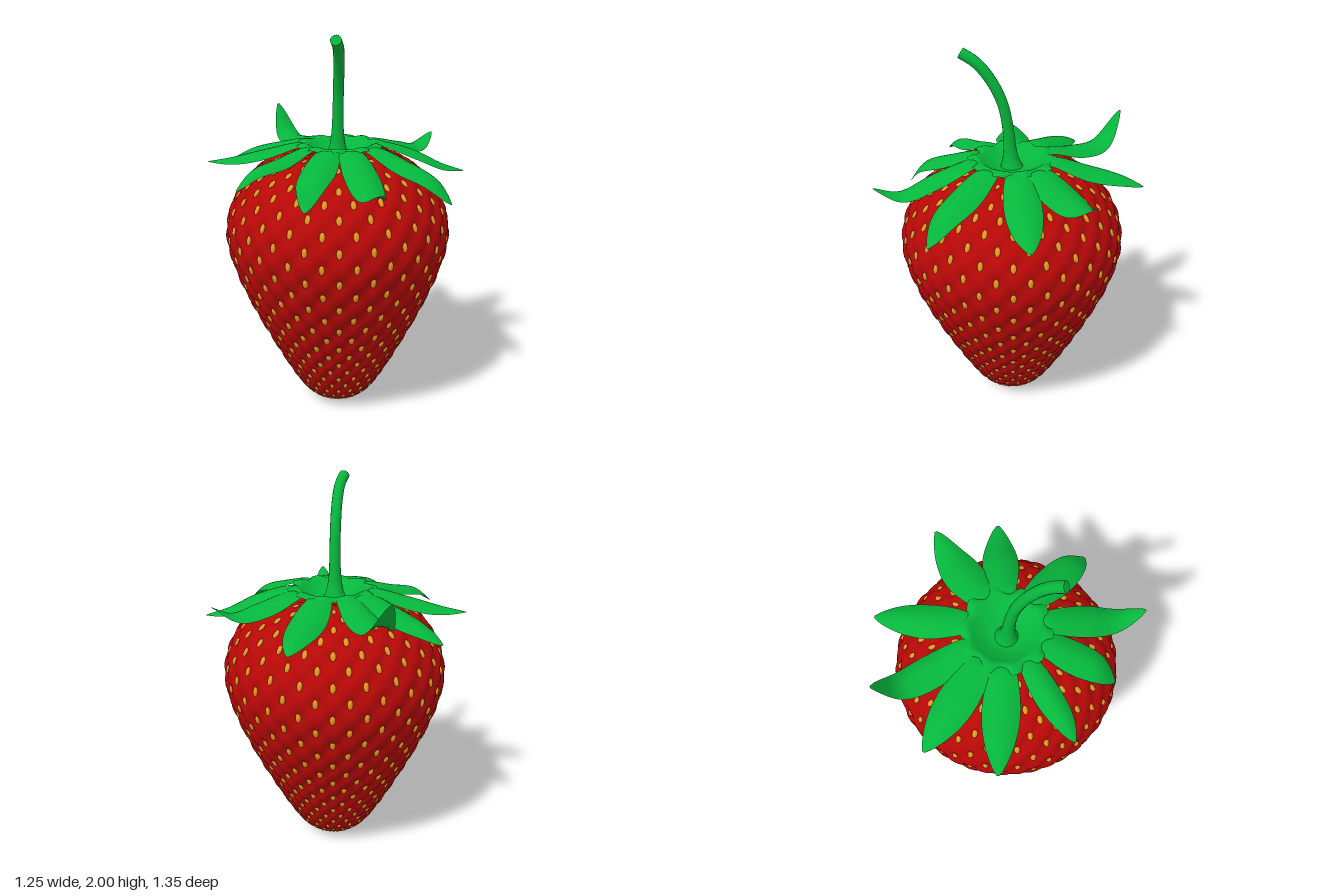
import * as THREE from 'three';
import { mergeGeometries } from 'three/addons/utils/BufferGeometryUtils.js';

const V = (x, y, z) => new THREE.Vector3(x, y, z);
const CX = -0.035; // axis of the fruit
const COLUMNS = 22; // seeds per ring
const SUB = 6; // surface rows per seed row

// Smooth surface from a grid of points; wrap joins the last column to the first
function grid(nu, nv, fn, wrap = false) {
  const pos = [], idx = [], cols = wrap ? nu : nu + 1;
  for (let j = 0; j <= nv; j++)
    for (let i = 0; i < cols; i++) pos.push(...fn(i / nu, j / nv, j).toArray());
  for (let j = 0; j < nv; j++)
    for (let i = 0; i < nu; i++) {
      const a = j * cols + i, b = j * cols + ((i + 1) % cols), c = a + cols, d = b + cols;
      idx.push(a, c, b, b, c, d);
    }
  const g = new THREE.BufferGeometry();
  g.setAttribute('position', new THREE.Float32BufferAttribute(pos, 3));
  g.setIndex(idx);
  g.computeVertexNormals();
  return g;
}

function mesh(name, geometry, color, side = THREE.FrontSide) {
  const m = new THREE.Mesh(geometry, new THREE.MeshStandardMaterial({ color, side }));
  m.name = name;
  return m;
}

// Profile of the fruit, cut into rows that follow the seed spacing
function fruitRows() {
  const curve = new THREE.CatmullRomCurve3([
    [0, 0.003], [0.07, 0.008], [0.13, 0.03], [0.195, 0.085], [0.27, 0.2], [0.375, 0.4],
    [0.47, 0.6], [0.548, 0.8], [0.587, 0.97], [0.574, 1.1], [0.525, 1.21], [0.45, 1.305],
    [0.36, 1.37], [0.26, 1.41], [0.15, 1.41], [0.07, 1.385], [0, 1.375],
  ].map(([r, y]) => V(r, y, 0)), false, 'centripetal');
  const pts = curve.getSpacedPoints(3000), rows = [];
  let k = 0;
  pts.forEach((p, i) => {
    const q = pts[Math.max(i - 1, 0)], next = pts[Math.min(i + 1, 3000)];
    k += p.distanceTo(q) / (0.048 + 0.056 * p.x);
    if (k * SUB >= rows.length || i === 3000) {
      const t = next.clone().sub(q).normalize();
      rows.push({ r: Math.max(p.x, 0.0005), y: p.y, t, k: rows.length / SUB });
    }
  });
  return rows;
}

// Point on the dimpled skin; each dimple is centred on a seed
function skinPoint(row, a, lift = 0) {
  const dimple = (1 + Math.cos(COLUMNS * a) * Math.cos(Math.PI * row.k)) / 2;
  const d = lift - 0.018 * Math.min(1, row.r / 0.35) * dimple ** 1.5;
  const r = row.r + row.t.y * d;
  return V(CX + r * Math.cos(a), row.y - row.t.x * d, r * Math.sin(a));
}

function makeSeeds(rows) {
  const seeds = [];
  for (let j = 0; j < rows.length; j += SUB) {
    const row = rows[j];
    if (row.r < (row.y > 1 ? 0.2 : 0.1)) continue;
    const s = Math.min(1, 0.4 + row.r * 1.5);
    for (let i = 0; i < COLUMNS; i++) {
      const a = ((i + (row.k % 2) / 2) / COLUMNS) * Math.PI * 2;
      const up = V(row.t.x * Math.cos(a), row.t.y, row.t.x * Math.sin(a));
      const out = V(row.t.y * Math.cos(a), -row.t.x, row.t.y * Math.sin(a));
      const m = new THREE.Matrix4().makeBasis(V().crossVectors(up, out), up, out);
      m.setPosition(skinPoint(row, a, 0.004));
      const g = new THREE.SphereGeometry(1, 8, 5);
      g.scale(0.0145 * s, 0.025 * s, 0.01 * s);
      seeds.push(g.applyMatrix4(m));
    }
  }
  return mergeGeometries(seeds);
}

// Arched pointed leaf from the crown to its tip
function makeLeaf([x, z, half, y1, y2, yTip]) {
  const dx = x + 0.02, R = Math.hypot(dx, z), c = dx / R, s = z / R;
  const at = (f) => 0.2 + f * (R - 0.2);
  const path = new THREE.CatmullRomCurve3([
    V(0.15, 1.435, 0), V(0.2, 1.455, 0), V(at(0.4), y1, 0), V(at(0.75), y2, 0), V(R, yTip, 0),
  ], false, 'centripetal');
  return grid(8, 20, (u, v) => {
    const p = path.getPointAt(v), e = u * 2 - 1;
    const w = (half * Math.max(0, Math.sin(Math.PI * (0.14 + 0.86 * v ** 1.1))) ** 0.8 + 0.006) * e;
    return V(-0.02 + p.x * c - w * s, p.y - 0.035 * e * e * Math.sin(Math.PI * v), p.x * s + w * c);
  });
}

// Curved stem with a flared foot
function makeStem() {
  const path = new THREE.CatmullRomCurve3([
    V(-0.035, 1.385, 0), V(-0.038, 1.46, 0.005), V(-0.042, 1.6, 0.015), V(-0.055, 1.74, 0.04),
    V(-0.085, 1.86, 0.09), V(-0.125, 1.94, 0.145), V(-0.172, 1.98, 0.195),
  ]);
  const n = 32, frames = path.computeFrenetFrames(n);
  const tube = grid(14, n, (u, v, j) => {
    const a = -u * Math.PI * 2, r = 0.027 + 0.04 * Math.exp(-v * 11);
    return path.getPointAt(v)
      .addScaledVector(frames.normals[j], r * Math.cos(a))
      .addScaledVector(frames.binormals[j], r * Math.sin(a));
  }, true);
  const cap = new THREE.CircleGeometry(0.027, 14);
  cap.applyQuaternion(new THREE.Quaternion().setFromUnitVectors(V(0, 0, 1), frames.tangents[n]));
  cap.translate(...path.getPointAt(1).toArray());
  return [tube, cap];
}

export function createModel() {
  const model = new THREE.Group();
  const RED = 0xb80807, GREEN = 0x06b63c, GOLD = 0xe8961c;
  const rows = fruitRows();
  model.add(mesh('fruit', grid(COLUMNS * 8, rows.length - 1,
    (u, v, j) => skinPoint(rows[j], u * Math.PI * 2), true), RED));
  model.add(mesh('seeds', makeSeeds(rows), GOLD));

  // Scalloped crown: a dished disc with a raised rim reaching out to each leaf
  const rim = new THREE.CatmullRomCurve3([
    V(0.02, 1.405, 0), V(0.08, 1.405, 0), V(0.14, 1.435, 0), V(0.18, 1.46, 0), V(0.22, 1.445, 0),
  ]);
  model.add(mesh('crown', grid(80, 12, (u, v) => {
    const a = u * Math.PI * 2, p = rim.getPoint(v), wave = -Math.cos(10 * a) * v * v;
    const r = p.x * (1 + 0.06 * wave);
    return V(-0.02 + r * Math.cos(a), p.y + 0.008 * wave, r * Math.sin(a));
  }, true), GREEN, THREE.DoubleSide));

  // Leaves: tip x, tip z, half width, then heights along the leaf
  const leaves = new THREE.Group();
  leaves.name = 'leaves';
  [
    [0.0, -0.68, 0.08, 1.425, 1.43, 1.57], [0.41, -0.5, 0.085, 1.42, 1.38, 1.33],
    [0.62, -0.03, 0.095, 1.42, 1.39, 1.44], [0.57, 0.3, 0.085, 1.41, 1.33, 1.29],
    [0.2, 0.615, 0.085, 1.41, 1.35, 1.24], [-0.25, 0.67, 0.08, 1.4, 1.33, 1.37],
    [-0.46, 0.37, 0.08, 1.42, 1.37, 1.25], [-0.625, 0.03, 0.062, 1.42, 1.385, 1.3],
    [-0.59, -0.37, 0.085, 1.42, 1.38, 1.36], [-0.31, -0.61, 0.09, 1.42, 1.37, 1.31],
  ].forEach((d) => leaves.add(mesh('leaf', makeLeaf(d), GREEN, THREE.DoubleSide)));
  model.add(leaves);

  const [tube, cap] = makeStem();
  model.add(mesh('stem', tube, GREEN, THREE.DoubleSide), mesh('stemEnd', cap, GREEN));
  return model;
}
